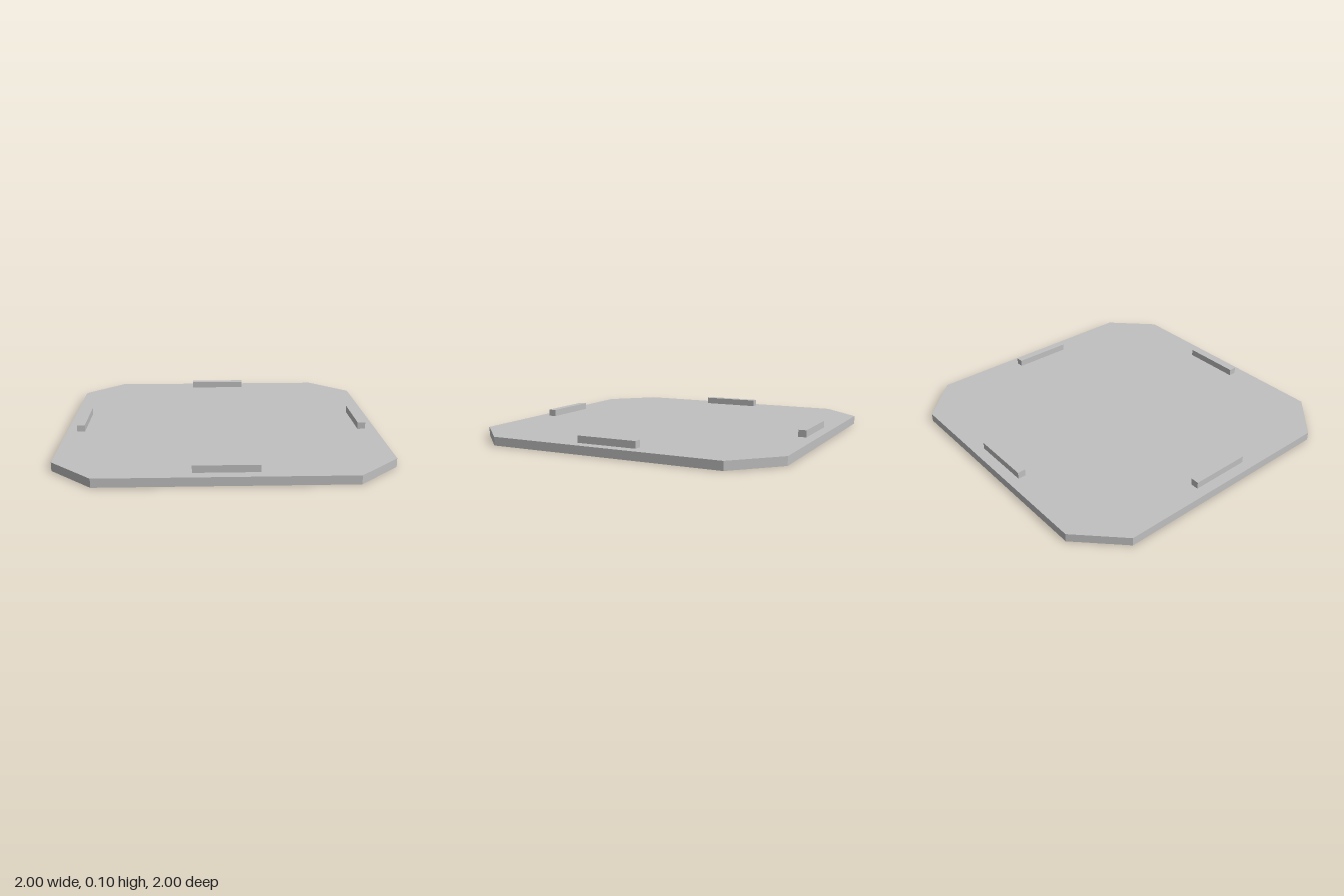
import * as THREE from 'three';

const PLATE_HEIGHT = 0.053;
const RAIL_TOP = 0.096;

export function createModel() {
  const model = new THREE.Group();
  model.name = 'octagonalPlate';
  const grey = new THREE.MeshStandardMaterial({ color: 0xc0c0c0, flatShading: true });
  grey.name = 'light grey';

  // Square slab with its four corners cut off
  const e = 1, c = 0.743;
  const outline = new THREE.Shape([
    [c, -e], [e, -c], [e, c], [c, e], [-c, e], [-e, c], [-e, -c], [-c, -e],
  ].map(([x, y]) => new THREE.Vector2(x, y)));
  const slabGeometry = new THREE.ExtrudeGeometry(outline, { depth: PLATE_HEIGHT, bevelEnabled: false });
  slabGeometry.rotateX(-Math.PI / 2);
  const slab = new THREE.Mesh(slabGeometry, grey);
  slab.name = 'slab';
  model.add(slab);

  // One short raised rail along the middle of each straight edge
  const railHeight = RAIL_TOP - PLATE_HEIGHT;
  const railGeometry = new THREE.BoxGeometry(0.384, railHeight, 0.05);
  ['frontRail', 'leftRail', 'backRail', 'rightRail'].forEach((name, i) => {
    const angle = i * Math.PI / 2;
    const rail = new THREE.Mesh(railGeometry, grey);
    rail.name = name;
    rail.position.set(Math.sin(angle) * 0.908, PLATE_HEIGHT + railHeight / 2, Math.cos(angle) * 0.908);
    rail.rotation.y = angle;
    model.add(rail);
  });

  return model;
}
